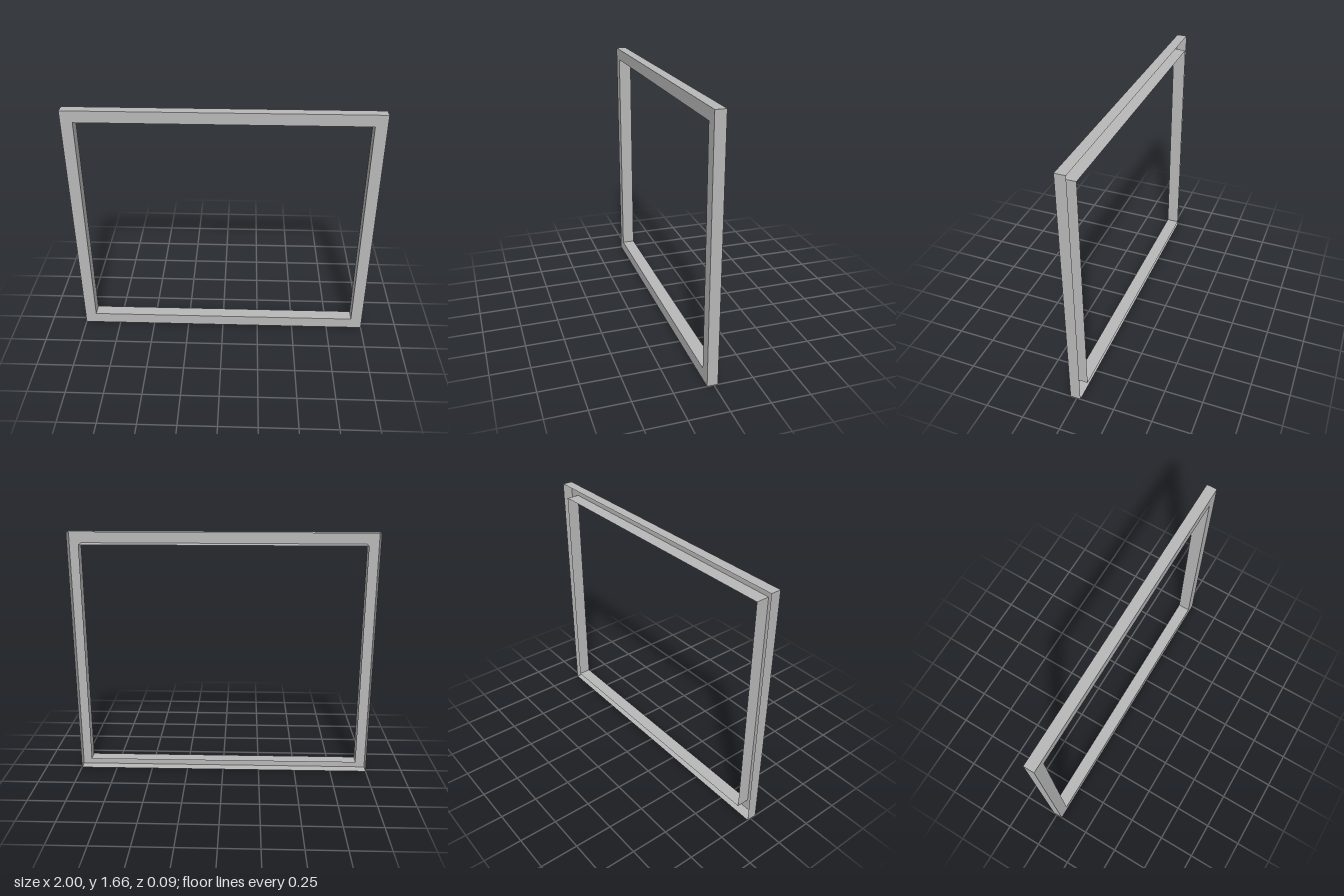
import * as THREE from 'three';

const W = 2, H = 1.658;      // outer size
const BORDER = 0.077;        // width of the face
const FRONT = 0.043;         // z of the face
const OUTER_BACK = -0.025;   // rear edge of the outer flange
const INNER_BACK = -0.043;   // rear edge of the inner flange

export function createModel() {
  const group = new THREE.Group();
  group.name = 'windowFrame';
  const metal = new THREE.MeshStandardMaterial({ color: 0xb8b8b8, side: THREE.DoubleSide });
  metal.name = 'grey metal';

  const add = (name, geometry, x, y, z, parent) => {
    const mesh = new THREE.Mesh(geometry, metal);
    mesh.name = name;
    mesh.position.set(x, y, z);
    parent.add(mesh);
    return mesh;
  };

  // Corners of the rectangle set in from the outer edge
  const corners = (inset) => {
    const x = W / 2 - inset, y0 = inset, y1 = H - inset;
    return [[-x, y0], [x, y0], [x, y1], [-x, y1]].map((p) => new THREE.Vector2(...p));
  };

  // Flat front face with the opening cut out
  const face = new THREE.Shape(corners(0));
  face.holes.push(new THREE.Path(corners(BORDER).reverse()));
  add('frontFace', new THREE.ShapeGeometry(face), 0, 0, FRONT, group);

  // Sheet flange: four thin walls running back from the face
  const addFlange = (name, inset, back, outward) => {
    const flange = new THREE.Group();
    flange.name = name;
    const w = W - 2 * inset, h = H - 2 * inset;
    const depth = FRONT - back, z = (FRONT + back) / 2;
    for (const s of [-1, 1]) {
      const side = add(s > 0 ? 'leftWall' : 'rightWall',
        new THREE.PlaneGeometry(depth, h), s * w / 2, H / 2, z, flange);
      side.rotation.y = s * outward * Math.PI / 2;
      const level = add(s > 0 ? 'topWall' : 'bottomWall',
        new THREE.PlaneGeometry(w, depth), 0, H / 2 + s * h / 2, z, flange);
      level.rotation.x = -s * outward * Math.PI / 2;
    }
    group.add(flange);
  };
  addFlange('outerFlange', 0, OUTER_BACK, 1);
  addFlange('innerFlange', BORDER, INNER_BACK, -1);

  return group;
}
